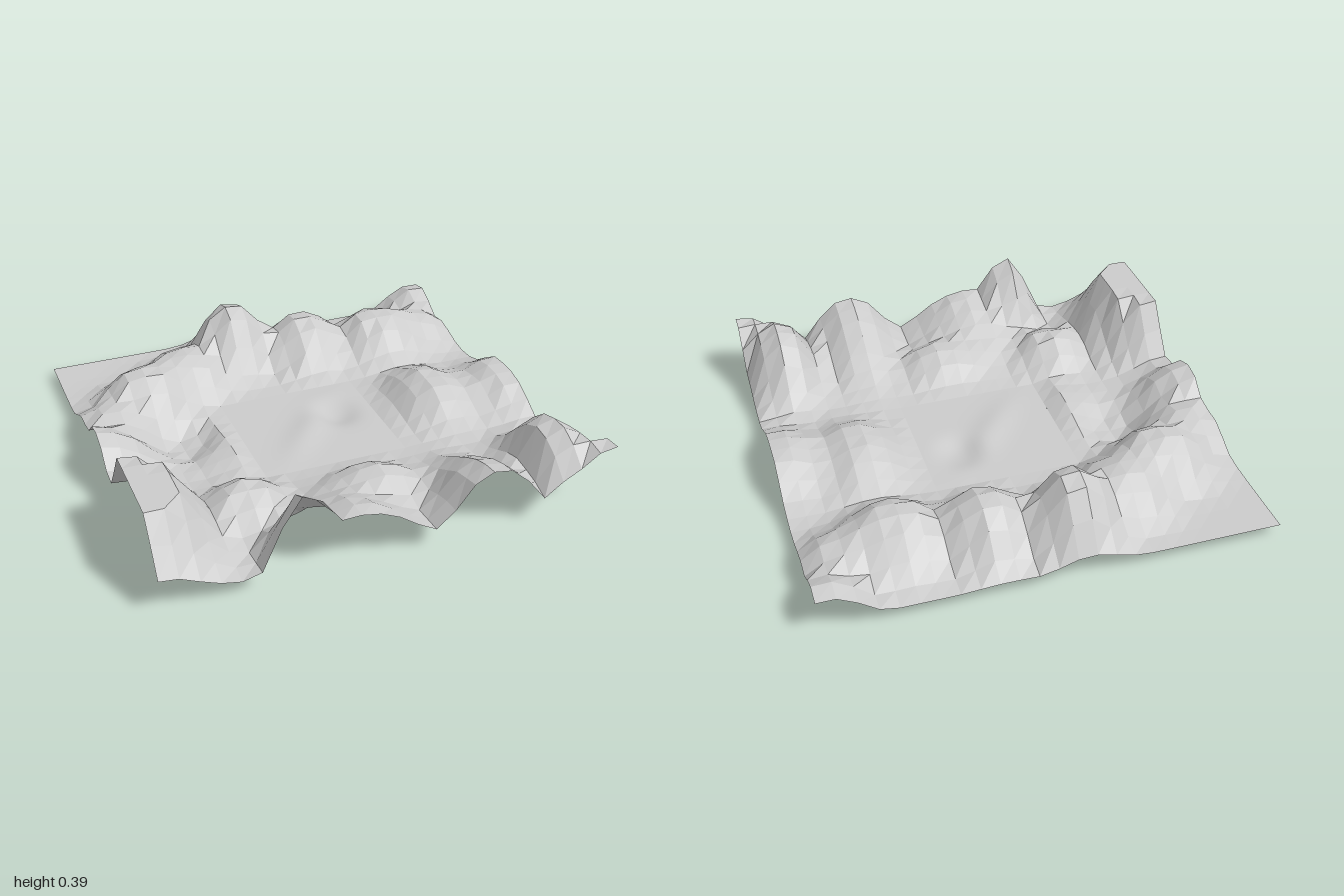
import * as THREE from 'three';

const W = 2, D = 1.96, FLOOR = 0.05, CELLS = 24, HOLE = 4; // HOLE: half-width of the basin in cells

// Hills: [x, z, radius x, radius z, height above the floor]
const hills = [
  // long slopes rising to the front rim
  [-0.4, 1.0, 0.13, 0.22, 0.34], [-0.17, 1.02, 0.27, 0.42, 0.19], [0.44, 1.02, 0.2, 0.42, 0.25],
  [0.82, 0.76, 0.16, 0.26, 0.28], [0.97, 0.95, 0.15, 0.18, 0.24],
  // broad flat-topped mound and hump on the left
  [-0.98, 0.62, 0.25, 0.31, 0.45], [-1.0, 0.0, 0.22, 0.19, 0.19],
  // ridge around the back of the basin
  [-0.88, -0.27, 0.2, 0.18, 0.13], [-0.66, -0.46, 0.21, 0.19, 0.2], [-0.42, -0.6, 0.21, 0.2, 0.18],
  [-0.14, -0.74, 0.19, 0.2, 0.31], [0.22, -0.67, 0.2, 0.21, 0.22], [0.6, -0.62, 0.23, 0.21, 0.2],
  [0.84, -0.66, 0.17, 0.17, 0.13], [0.96, -0.92, 0.17, 0.16, 0.14],
  // right side
  [0.98, 0.03, 0.25, 0.24, 0.14], [0.62, -0.02, 0.18, 0.26, 0.14],
  // low hills in front of the basin and its low left lip
  [-0.5, 0.54, 0.18, 0.17, 0.14], [0.05, 0.6, 0.22, 0.16, 0.12], [-0.41, 0.1, 0.13, 0.26, 0.04],
];
const CAP = 0.31, PEAK = 0.34;

// Rounded bump with a fairly flat top
const bump = (x, z, cx, cz, rx, rz) =>
  Math.exp(-((((x - cx) / rx) ** 2 + ((z - cz) / rz) ** 2) ** 1.4));

function hash(i, j) {
  const s = Math.sin(i * 127.1 + j * 311.7) * 43758.5453;
  return s - Math.floor(s) - 0.5;
}

// Rugged surroundings: hills blended together, meeting the floor at the basin
function landHeight(x, z) {
  let sum = 0;
  for (const [cx, cz, rx, rz, h] of hills) sum += (h * bump(x, z, cx, cz, rx, rz)) ** 3;
  let h = Math.min(Math.cbrt(sum), x < -0.7 ? CAP : PEAK);
  const jitter = hash(Math.round(x * 12), Math.round(z * 12.25));
  h *= 1 + 0.2 * jitter * Math.max(0, 1 - h / CAP);
  h *= THREE.MathUtils.smoothstep(Math.max(Math.abs(x), Math.abs(z)), 0.33, 0.42);
  const pit = 0.065 * bump(x, z, -0.58, -0.09, 0.13, 0.14);
  return Math.max(0, FLOOR + h - pit);
}

// Gentle basin floor with a shallow diagonal hollow, level at its border
function basinHeight(x, z) {
  const fade = Math.cos((x / 0.333) * Math.PI / 2) * Math.cos((z / 0.327) * Math.PI / 2);
  const along = Math.exp(-(((x + z * 0.8) / 0.1) ** 2));
  return FLOOR + fade * (0.015 * along - 0.045 * bump(x, z, 0.17, -0.1, 0.1, 0.12));
}

function sheet(w, d, n, height) {
  const g = new THREE.PlaneGeometry(w, d, n, n).rotateX(-Math.PI / 2);
  const p = g.attributes.position;
  for (let i = 0; i < p.count; i++) p.setY(i, height(p.getX(i), p.getZ(i)));
  g.computeVertexNormals();
  return g;
}

export function createModel() {
  const group = new THREE.Group();
  group.name = 'terrain';

  // Faceted land, with the cells of the basin left out
  const land = sheet(W, D, CELLS, landHeight);
  const index = land.index.array, kept = [];
  const inside = (k) => Math.abs(k + 0.5 - CELLS / 2) < HOLE;
  for (let c = 0; c < CELLS * CELLS; c++) {
    if (inside(c % CELLS) && inside(Math.floor(c / CELLS))) continue;
    for (let k = 0; k < 6; k++) kept.push(index[c * 6 + k]);
  }
  land.setIndex(kept);
  const landMesh = new THREE.Mesh(land, new THREE.MeshStandardMaterial({
    color: 0xcccccc, flatShading: true, side: THREE.DoubleSide }));
  landMesh.name = 'hills';

  // Smooth basin floor
  const size = (2 * HOLE) / CELLS;
  const basinMesh = new THREE.Mesh(sheet(W * size, D * size, 24, basinHeight),
    new THREE.MeshStandardMaterial({ color: 0xcccccc, side: THREE.DoubleSide }));
  basinMesh.name = 'basinFloor';

  group.add(landMesh, basinMesh);
  return group;
}
